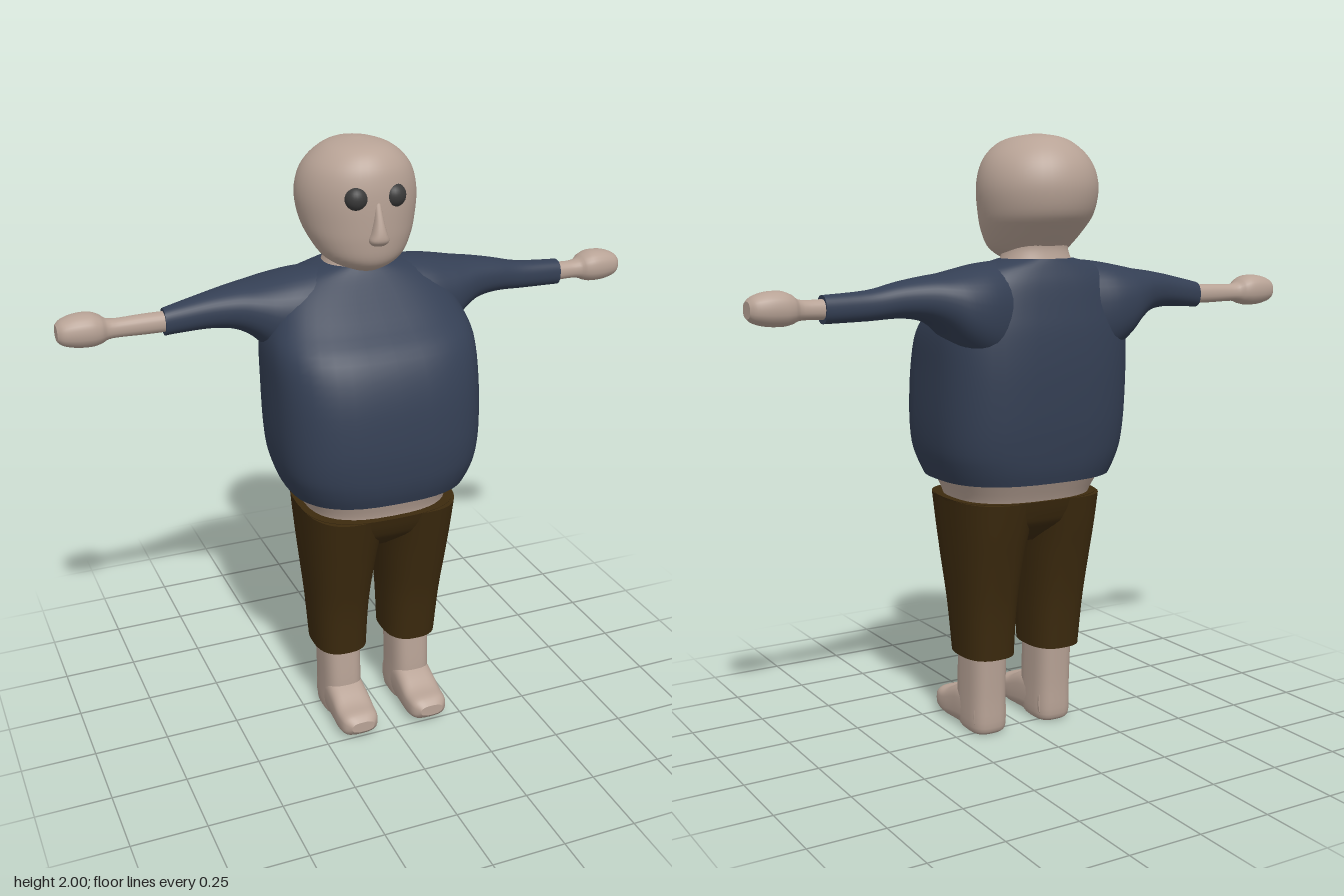
import * as THREE from 'three';

const material = (color) => new THREE.MeshStandardMaterial({ color });

// Smooth skin over rounded sections along an axis. Row: [t, uMin, uMax, vMin, vMax, squareness].
// (u, v, t) is (z, x, y) for axis 'y', (y, z, x) for 'x' and (x, y, z) for 'z'.
function loft(axis, rows, mirror = false, sides = 40, steps = 4) {
  const place = {
    x: (u, v, t) => [t, u, v],
    y: (u, v, t) => [v, t, u],
    z: (u, v, t) => [u, v, t],
  }[axis];
  const full = rows.map((r) => (r.length < 6 ? [...r, 2.3] : r));
  const fine = [];
  for (let i = 0; i < full.length - 1; i++) {
    const a = full[Math.max(i - 1, 0)], b = full[i], c = full[i + 1], d = full[Math.min(i + 2, full.length - 1)];
    for (let s = 0; s < steps; s++) {
      const f = s / steps;
      fine.push(b.map((_, k) => 0.5 * (2 * b[k] + (c[k] - a[k]) * f
        + (2 * a[k] - 5 * b[k] + 4 * c[k] - d[k]) * f * f
        + (3 * b[k] - a[k] - 3 * c[k] + d[k]) * f ** 3)));
    }
  }
  fine.push(full[full.length - 1]);

  const pos = [], index = [];
  const put = (u, v, t) => {
    const p = place(u, v, t);
    pos.push(mirror ? -p[0] : p[0], p[1], p[2]);
  };
  const tri = (a, b, c) => (mirror ? index.push(a, c, b) : index.push(a, b, c));
  const ring = ([t, u0, u1, v0, v1, e]) => {
    for (let j = 0; j < sides; j++) {
      const a = (j / sides) * Math.PI * 2, c = Math.cos(a), s = Math.sin(a);
      const bend = (x) => Math.sign(x) * Math.abs(x) ** (2 / e);
      put((u0 + u1) / 2 + bend(c) * (u1 - u0) / 2, (v0 + v1) / 2 + bend(s) * (v1 - v0) / 2, t);
    }
  };
  fine.forEach(ring);
  for (let i = 0; i < fine.length - 1; i++) {
    for (let j = 0; j < sides; j++) {
      const a = i * sides + j, b = i * sides + (j + 1) % sides;
      tri(a, b, b + sides);
      tri(a, b + sides, a + sides);
    }
  }
  // End caps with their own vertices, so the rims stay sharp
  [fine[0], fine[fine.length - 1]].forEach((r, end) => {
    const base = pos.length / 3;
    ring(r);
    put((r[1] + r[2]) / 2, (r[3] + r[4]) / 2, r[0]);
    for (let j = 0; j < sides; j++) {
      const a = base + j, b = base + (j + 1) % sides, m = base + sides;
      if (end) tri(m, a, b); else tri(m, b, a);
    }
  });
  const g = new THREE.BufferGeometry();
  g.setAttribute('position', new THREE.Float32BufferAttribute(pos, 3));
  g.setIndex(index);
  g.computeVertexNormals();
  return g;
}

// Upright sections centred on x: [y, half width, back z, front z, squareness]
const upright = (rows) => loft('y', rows.map(([y, w, b, f, e = 2.3]) => [y, b, f, -w, w, e]));

export function createModel() {
  const group = new THREE.Group();
  const skin = material(0xb8a396), shirt = material(0x343f54);
  const cloth = material(0x3c2a0e), dark = material(0x3a3a3a);
  const add = (name, geometry, mat) => {
    const mesh = new THREE.Mesh(geometry, mat);
    mesh.name = name;
    group.add(mesh);
    return mesh;
  };

  // Head and neck
  add('head', upright([
    [1.6, 0.055, -0.13, 0.025, 2], [1.62, 0.1, -0.165, 0.058, 2], [1.65, 0.137, -0.19, 0.076, 2],
    [1.7, 0.167, -0.24, 0.084, 2], [1.75, 0.185, -0.285, 0.087, 2], [1.82, 0.195, -0.304, 0.088, 2],
    [1.88, 0.187, -0.298, 0.084, 2], [1.93, 0.162, -0.273, 0.07, 2], [1.97, 0.118, -0.232, 0.038, 2],
    [1.99, 0.07, -0.19, -0.01, 2], [2, 0.012, -0.12, -0.09, 2],
  ]), skin);
  add('neck', upright([
    [1.56, 0.14, -0.21, 0.02], [1.61, 0.115, -0.195, 0], [1.65, 0.105, -0.19, 0], [1.7, 0.11, -0.2, 0],
  ]), skin);
  add('nose', loft('y', [
    [1.7, 0.06, 0.105, -0.022, 0.022], [1.715, 0.06, 0.12, -0.032, 0.032], [1.74, 0.06, 0.12, -0.024, 0.024],
    [1.78, 0.06, 0.108, -0.015, 0.015], [1.83, 0.06, 0.088, -0.01, 0.01],
  ], false, 16), skin);
  for (const [side, s] of [['left', 1], ['right', -1]]) {
    const eye = add(side + 'Eye', new THREE.SphereGeometry(0.038, 24, 16), dark);
    eye.position.set(s * 0.063, 1.845, 0.06);
    eye.scale.z = 0.9;
  }

  // Shirt body and the bare waist below it
  add('shirtBody', upright([
    [0.895, 0.3, -0.235, 0.28, 2.7], [0.94, 0.318, -0.247, 0.295, 2.8], [1, 0.335, -0.256, 0.304, 2.9],
    [1.1, 0.344, -0.266, 0.305, 2.9], [1.25, 0.346, -0.27, 0.285, 2.9], [1.37, 0.345, -0.264, 0.238, 2.8],
    [1.45, 0.325, -0.252, 0.155, 2.7], [1.53, 0.285, -0.236, 0.07, 2.6], [1.58, 0.225, -0.218, 0.02, 2.4],
    [1.61, 0.125, -0.205, -0.002, 2.2],
  ]), shirt);
  add('waist', upright([
    [0.8, 0.235, -0.165, 0.225, 2.6], [0.84, 0.245, -0.18, 0.23, 2.6], [0.91, 0.28, -0.215, 0.255, 2.6],
  ]), skin);

  // Trouser seat
  add('trouserSeat', upright([
    [0.67, 0.1, -0.06, 0.12, 2.6], [0.735, 0.235, -0.145, 0.205, 2.7],
    [0.78, 0.256, -0.17, 0.234, 2.8], [0.827, 0.265, -0.185, 0.25, 2.8],
  ]), cloth);

  for (const [side, mirror, cuff] of [['left', false, 0.745], ['right', true, 0.645]]) {
    // Sleeve, longer on one side
    add(side + 'Sleeve', loft('x', [
      [0.12, 1.25, 1.607, -0.225, 0.05], [0.22, 1.28, 1.597, -0.25, 0.05], [0.3, 1.33, 1.582, -0.248, 0.03],
      [0.36, 1.39, 1.57, -0.228, 0.005], [0.42, 1.425, 1.562, -0.2, -0.02], [0.5, 1.437, 1.548, -0.172, -0.042],
      [0.6, 1.433, 1.526, -0.152, -0.062], [cuff, 1.43, 1.516, -0.142, -0.068],
    ], mirror), shirt);
    // Forearm and mitten hand
    add(side + 'ForearmAndHand', loft('x', [
      [0.55, 1.442, 1.506, -0.137, -0.073], [0.7, 1.442, 1.506, -0.137, -0.073],
      [0.81, 1.444, 1.504, -0.137, -0.073], [0.845, 1.434, 1.522, -0.156, -0.054],
      [0.875, 1.428, 1.533, -0.163, -0.046], [0.92, 1.43, 1.532, -0.162, -0.048],
      [0.96, 1.44, 1.52, -0.152, -0.058], [0.978, 1.454, 1.505, -0.135, -0.075],
    ], mirror, 24), skin);
    // Trouser leg
    add(side + 'TrouserLeg', loft('y', [
      [0.28, -0.087, 0.145, 0.038, 0.22, 2.6], [0.45, -0.105, 0.164, 0.032, 0.232, 2.6],
      [0.6, -0.133, 0.195, 0.018, 0.246, 2.6], [0.72, -0.16, 0.222, 0, 0.256, 2.6],
      [0.825, -0.182, 0.246, -0.03, 0.264, 2.6],
    ], mirror), cloth);
    // Shin down to the heel
    add(side + 'Shin', loft('y', [
      [0.005, -0.035, 0.1, 0.075, 0.182, 3], [0.03, -0.051, 0.125, 0.063, 0.194, 3],
      [0.14, -0.053, 0.133, 0.063, 0.195, 3], [0.3, -0.06, 0.124, 0.063, 0.196, 3],
      [0.4, -0.065, 0.12, 0.065, 0.195, 3],
    ], mirror, 32), skin);
    // Foot and toes
    add(side + 'Foot', loft('z', [
      [-0.02, 0.066, 0.19, 0.006, 0.13, 3.2], [0.08, 0.062, 0.195, 0.004, 0.155, 3.2],
      [0.14, 0.06, 0.196, 0.004, 0.138, 3.2], [0.2, 0.06, 0.197, 0.006, 0.107, 3.2],
      [0.25, 0.066, 0.192, 0.016, 0.098, 3], [0.276, 0.088, 0.17, 0.04, 0.078, 2.6],
    ], mirror, 32), skin);
  }
  return group;
}
